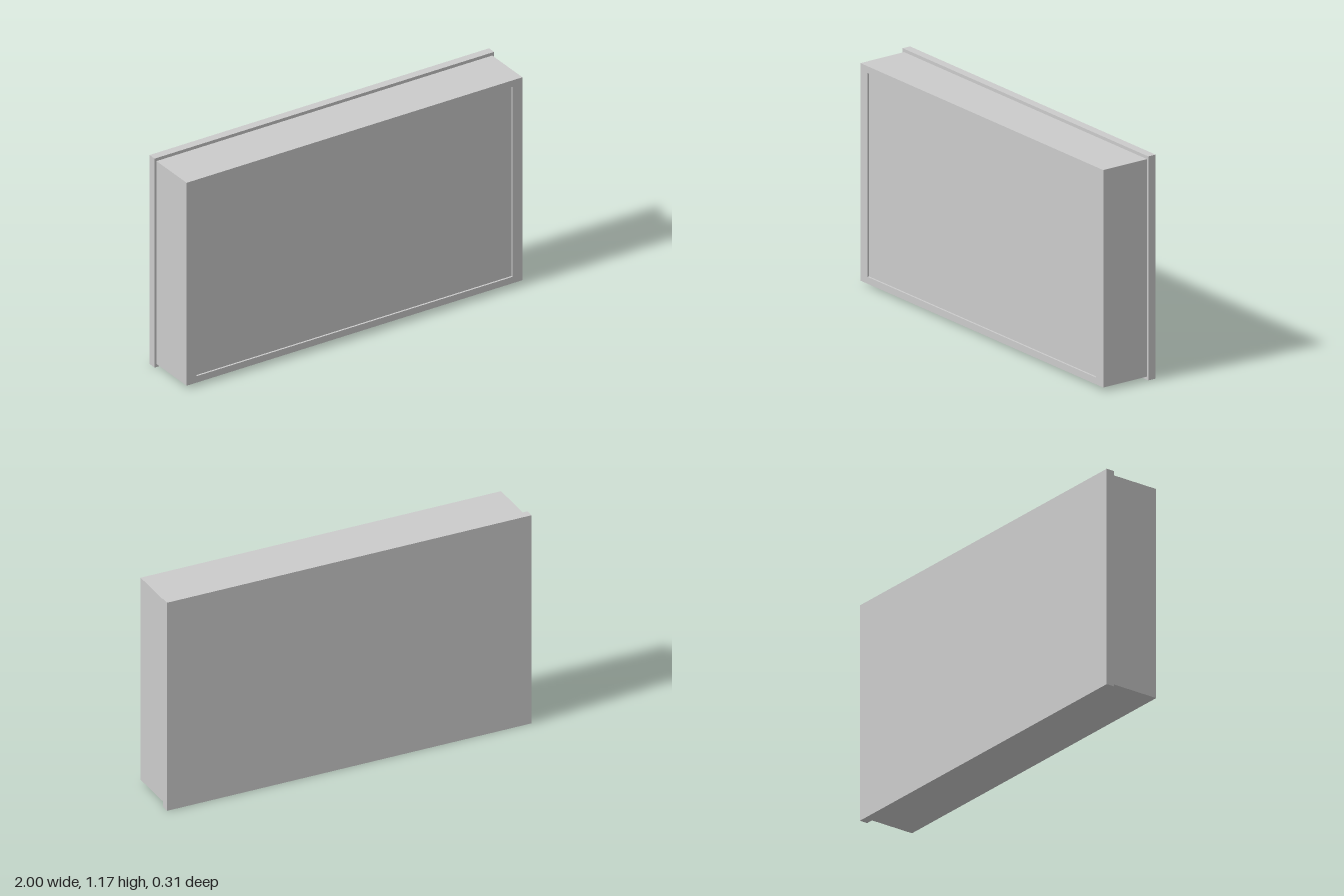
import * as THREE from 'three';

const grey = new THREE.MeshStandardMaterial({ color: 0xcccccc });

function rect(path, w, h) {
  return path.moveTo(-w / 2, -h / 2).lineTo(w / 2, -h / 2).lineTo(w / 2, h / 2).lineTo(-w / 2, h / 2).closePath();
}

export function createModel() {
  const group = new THREE.Group();
  const height = 1.168, front = 0.157, back = -0.157, seam = -0.112;
  const bodyW = 1.978, bodyH = 1.134, openW = 1.862, openH = 1.062, recess = 0.01;

  const add = (name, geometry, z) => {
    const mesh = new THREE.Mesh(geometry, grey);
    mesh.name = name;
    mesh.position.set(0, height / 2, z);
    group.add(mesh);
  };

  // Deep casing with a rectangular opening at the front
  const outline = rect(new THREE.Shape(), bodyW, bodyH);
  outline.holes.push(rect(new THREE.Path(), openW, openH));
  add('casing', new THREE.ExtrudeGeometry(outline, { depth: front - seam, bevelEnabled: false }), seam);

  // Flat panel set slightly back inside the opening
  const panelDepth = front - recess - seam;
  add('frontPanel', new THREE.BoxGeometry(openW, openH, panelDepth), seam + panelDepth / 2);

  // Back plate with a small lip all round
  add('backPlate', new THREE.BoxGeometry(2, height, seam - back), (seam + back) / 2);

  return group;
}
